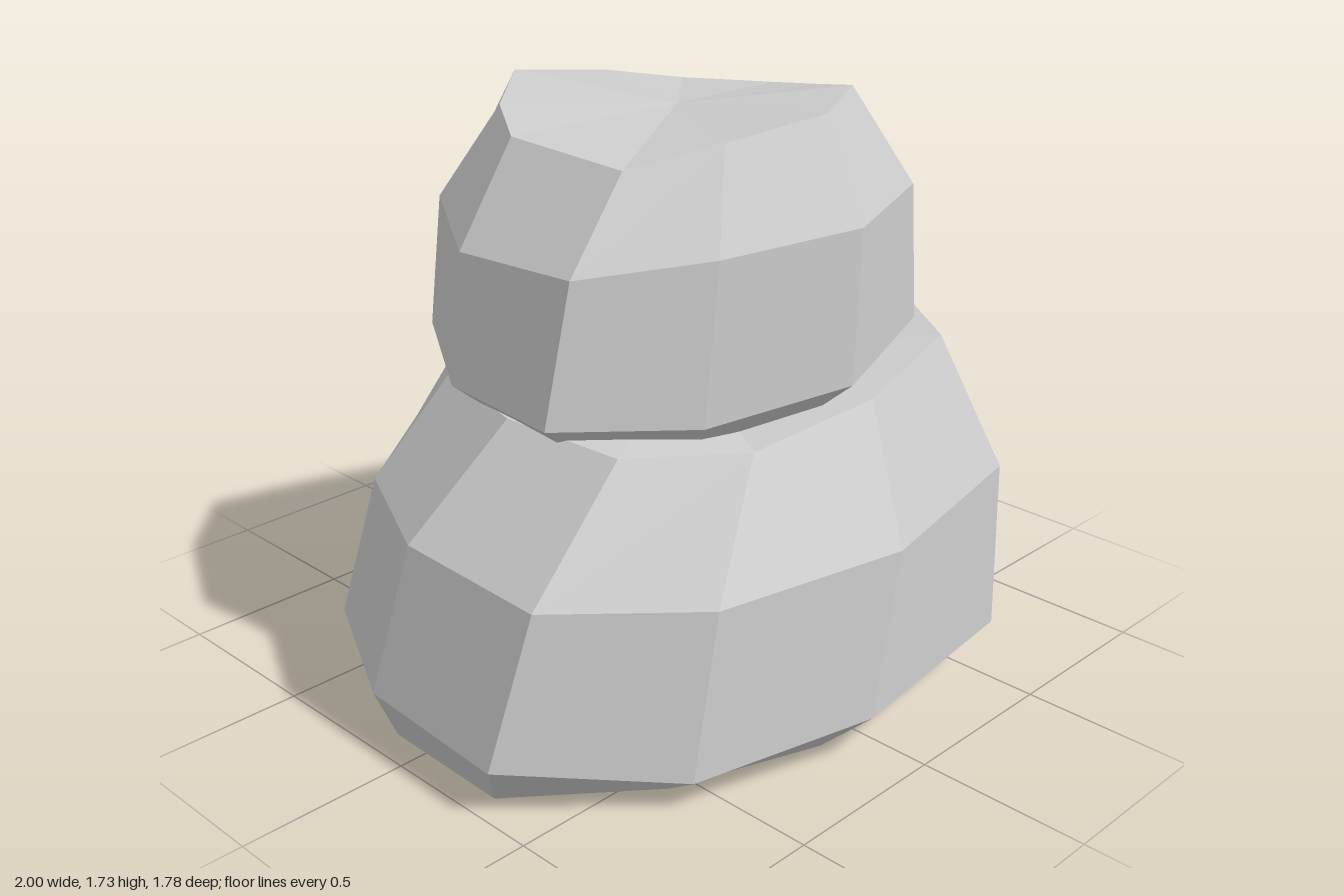
import * as THREE from 'three';

// Builds a faceted stone from rings of [x, y, z], listed from the bottom up.
function makeStone(name, rings, bottomY, topY) {
  const pos = [], nor = [];
  const v = (p) => new THREE.Vector3(...p);
  const tri = (n, ...pts) => pts.forEach((p) => {
    pos.push(p.x, p.y, p.z);
    nor.push(n.x, n.y, n.z);
  });
  const face = (a, b, c) => {
    const n = b.clone().sub(a).cross(c.clone().sub(a)).normalize();
    tri(n, a, b, c);
  };
  // one shared normal keeps each four-sided facet flat looking
  const quad = (a, b, c, d) => {
    const n = c.clone().sub(a).cross(d.clone().sub(b)).normalize();
    tri(n, a, b, c);
    tri(n, a, c, d);
  };
  const loops = rings.map((r) => r.map(v));
  const count = loops[0].length;
  const centre = (loop, y) => {
    const c = new THREE.Vector3();
    loop.forEach((p) => c.add(p));
    c.divideScalar(count);
    c.y = y;
    return c;
  };
  const first = loops[0], last = loops[loops.length - 1];
  const low = centre(first, bottomY), high = centre(last, topY);
  for (let i = 0; i < count; i++) {
    const j = (i + 1) % count;
    for (let k = 0; k + 1 < loops.length; k++) {
      quad(loops[k][j], loops[k][i], loops[k + 1][i], loops[k + 1][j]);
    }
    face(low, first[i], first[j]);
    face(high, last[j], last[i]);
  }
  const geo = new THREE.BufferGeometry();
  geo.setAttribute('position', new THREE.Float32BufferAttribute(pos, 3));
  geo.setAttribute('normal', new THREE.Float32BufferAttribute(nor, 3));
  const mesh = new THREE.Mesh(geo, new THREE.MeshStandardMaterial({ color: 0xcccccc, roughness: 0.9 }));
  mesh.name = name;
  return mesh;
}

export function createModel() {
  const group = new THREE.Group();
  group.name = 'stackedStones';

  // Lower stone: base, widest ring, shoulder, rim
  const wide = [
    [-0.3, 0.12, -0.85], [0.33, 0.09, -0.89], [0.84, 0.09, -0.57], [1.0, 0.19, -0.05],
    [0.91, 0.25, 0.46], [0.5, 0.18, 0.85], [-0.1, 0.14, 0.89], [-0.6, 0.09, 0.71],
    [-1.0, 0.15, 0.37], [-0.99, 0.17, -0.12], [-0.76, 0.16, -0.57],
  ];
  const base = wide.map(([x, , z]) => [x * 0.88 - 0.04, 0, z * 0.86 - 0.025]);
  const shoulder = [
    [-0.33, 0.6, -0.74], [0.25, 0.58, -0.83], [0.75, 0.58, -0.55], [0.95, 0.62, -0.07],
    [0.91, 0.66, 0.42], [0.56, 0.64, 0.8], [0.01, 0.6, 0.88], [-0.5, 0.55, 0.7],
    [-0.89, 0.59, 0.43], [-0.92, 0.63, -0.02], [-0.72, 0.62, -0.43],
  ];
  const rim = [
    [-0.32, 0.93, -0.5], [0.15, 0.92, -0.57], [0.53, 0.89, -0.4], [0.73, 0.95, -0.06],
    [0.73, 1.0, 0.3], [0.49, 1.01, 0.62], [0.1, 0.95, 0.69], [-0.28, 0.89, 0.61],
    [-0.6, 0.92, 0.44], [-0.67, 0.95, 0.1], [-0.58, 0.95, -0.25],
  ];
  group.add(makeStone('lowerStone', [base, wide, shoulder, rim], 0, 0.95));

  // Upper stone: underside, lower edge, upper edge, uneven cap
  const belly = [
    [-0.16, 1.07, -0.6], [0.22, 1.01, -0.46], [0.62, 0.96, -0.35], [0.73, 1.01, 0.0],
    [0.61, 1.05, 0.29], [0.4, 1.08, 0.59], [0.0, 1.02, 0.7], [-0.38, 0.96, 0.53],
    [-0.71, 0.98, 0.29], [-0.72, 1.01, -0.06], [-0.52, 1.05, -0.39],
  ];
  const underside = belly.map(([x, y, z]) => [x * 0.85, y - 0.09, z * 0.85]);
  const crown = [
    [-0.22, 1.47, -0.53], [0.2, 1.42, -0.42], [0.6, 1.38, -0.33], [0.67, 1.39, -0.01],
    [0.57, 1.41, 0.28], [0.39, 1.46, 0.57], [0.03, 1.44, 0.69], [-0.31, 1.39, 0.51],
    [-0.66, 1.38, 0.34], [-0.7, 1.38, -0.03], [-0.52, 1.43, -0.33],
  ];
  const cap = [
    [-0.24, 1.73, -0.33], [0.06, 1.69, -0.29], [0.34, 1.63, -0.25], [0.48, 1.63, -0.02],
    [0.42, 1.67, 0.21], [0.3, 1.72, 0.42], [0.04, 1.71, 0.55], [-0.22, 1.66, 0.44],
    [-0.48, 1.62, 0.34], [-0.55, 1.66, 0.01], [-0.45, 1.7, -0.15],
  ];
  group.add(makeStone('upperStone', [underside, belly, crown, cap], 0.92, 1.67));

  return group;
}
